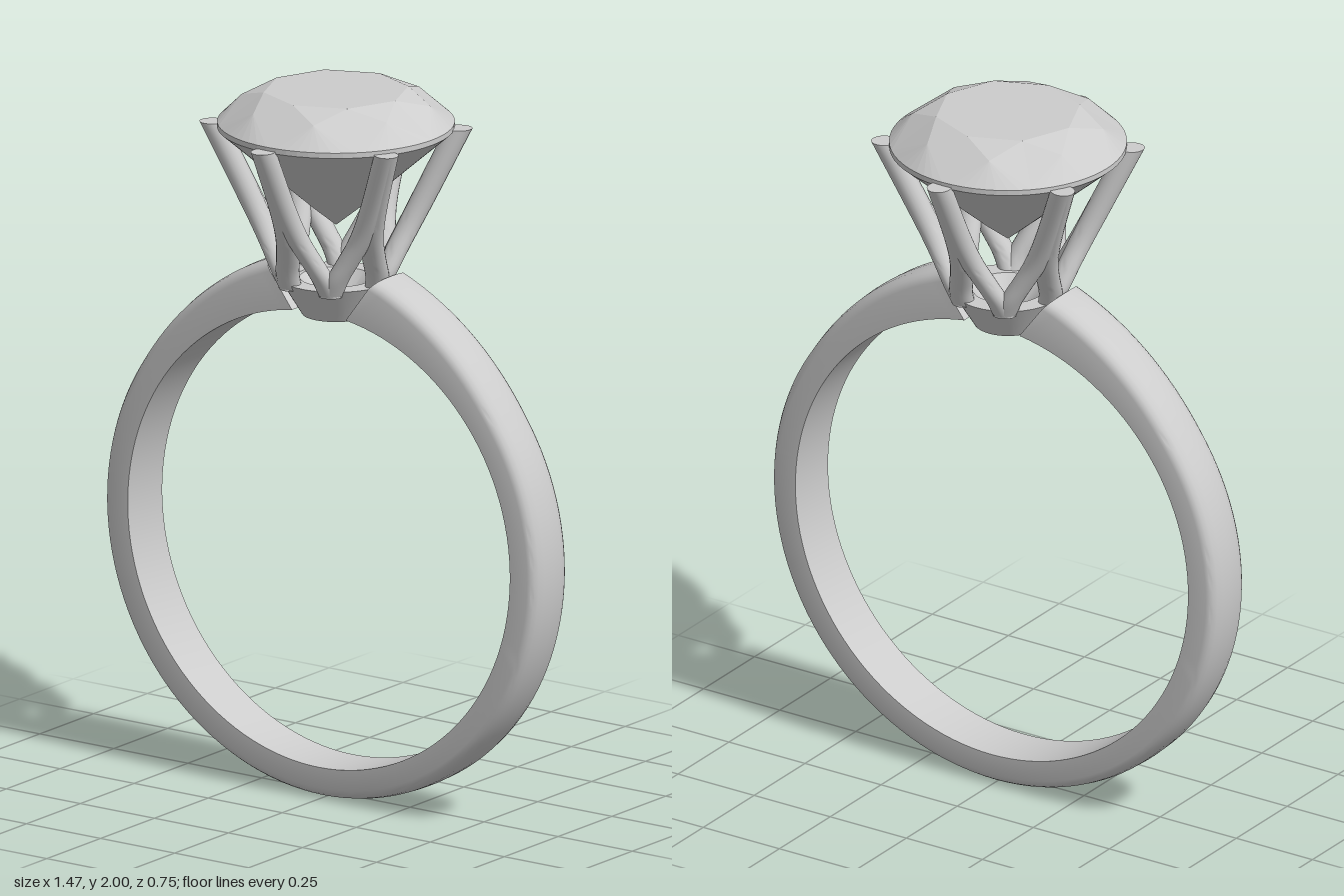
import * as THREE from 'three';
import { toCreasedNormals } from 'three/addons/utils/BufferGeometryUtils.js';

const lerp = THREE.MathUtils.lerp;

// Skin closed rings (counter-clockwise about the path) and cap both ends
function loft(rings, crease) {
  const n = rings[0].length, last = (rings.length - 1) * n, index = [];
  for (let i = 0; i < rings.length - 1; i++) {
    for (let j = 0; j < n; j++) {
      const a = i * n + j, b = i * n + (j + 1) % n;
      index.push(a, b, a + n, b, b + n, a + n);
    }
  }
  for (let j = 1; j < n - 1; j++) {
    index.push(0, j + 1, j, last, last + j, last + j + 1);
  }
  const g = new THREE.BufferGeometry().setFromPoints(rings.flat());
  g.setIndex(index);
  return toCreasedNormals(g, crease);
}

// Open shank, thicker towards its two slanted ends
function bandGeometry() {
  const edge = [[0.002, 0.04], [0.007, 0.06], [0.014, 0.071], [0.022, 0.077], [0.032, 0.08]];
  const mirrored = edge.map(([d, z]) => [d, -z]).reverse();
  const section = [[0, 0], ...edge, [null, 0.08], [null, -0.08], ...mirrored];
  const rings = [], steps = 120, inner = 0.645, startIn = 0.141, startOut = 0.243;
  for (let i = 0; i <= steps; i++) {
    const u = i / steps;
    const phiIn = lerp(startIn, 2 * Math.PI - startIn, u);
    const phiOut = lerp(startOut, 2 * Math.PI - startOut, u);
    const fromEnd = Math.min(phiOut, 2 * Math.PI - phiOut) - startOut;
    const outer = 0.735 + 0.052 * Math.max(0, 1 - fromEnd / 0.75) ** 1.5;
    rings.push(section.map(([drop, z]) => {
      const t = drop === null ? 0 : 1 - drop / (outer - inner);
      const phi = lerp(phiIn, phiOut, t), r = lerp(inner, outer, t);
      return new THREE.Vector3(r * Math.sin(phi), 0.738 + r * Math.cos(phi), z);
    }));
  }
  return loft(rings, 0.7);
}

// Half of a forked prong: upper stem shared, lower leg bending sideways
function prongGeometry(side) {
  const path = new THREE.CatmullRomCurve3([
    [0.118, 1.45, 0.068], [0.142, 1.5, 0.06], [0.17, 1.56, 0.038],
    [0.2, 1.62, 0.018], [0.24, 1.7, 0.006], [0.338, 1.9, 0],
  ].map(([x, y, z]) => new THREE.Vector3(x, y, z * side)));
  const rings = [], sides = 20;
  for (let i = 0; i <= 20; i++) {
    const c = path.getPoint(i / 20), depth = lerp(0.03, 0.037, i / 20);
    rings.push(Array.from({ length: sides }, (_, j) => {
      const a = j / sides * 2 * Math.PI;
      return new THREE.Vector3(c.x + depth * Math.cos(a), c.y, c.z - 0.033 * Math.sin(a));
    }));
  }
  return loft(rings, 0.7);
}

// Round brilliant cut with eightfold symmetry
function stoneGeometry() {
  const tris = [], eighth = Math.PI / 4, fan = 8;
  const p = (r, y, a) => new THREE.Vector3(r * Math.sin(a), y, r * Math.cos(a));
  const top = new THREE.Vector3(0, 2, 0), culet = new THREE.Vector3(0, 1.615, 0);
  for (let k = 0; k < 8; k++) {
    const a = k * eighth, b = a + eighth, m = a + eighth / 2;
    const tA = p(0.2, 2, a), tB = p(0.2, 2, b);
    const star = p(0.265, 1.969, m), prev = p(0.265, 1.969, a - eighth / 2);
    const low = p(0.065, 1.667, m), lowPrev = p(0.065, 1.667, a - eighth / 2);
    const crownG = p(0.325, 1.91, a), pavG = p(0.325, 1.895, a);
    // table, star facet and crown kite
    tris.push(top, tA, tB, tA, star, tB, tA, prev, crownG, tA, crownG, star);
    // pavilion main kite
    tris.push(culet, pavG, lowPrev, culet, low, pavG);
    // girdle and the facets that meet it
    for (let i = 0; i < fan; i++) {
      const a0 = a + eighth * i / fan, a1 = a + eighth * (i + 1) / fan;
      const u0 = p(0.325, 1.91, a0), u1 = p(0.325, 1.91, a1);
      const l0 = p(0.325, 1.895, a0), l1 = p(0.325, 1.895, a1);
      tris.push(star, u0, u1, l0, l1, u0, l1, u1, u0, low, l1, l0);
    }
  }
  const g = new THREE.BufferGeometry().setFromPoints(tris);
  g.computeVertexNormals();
  return g;
}

export function createModel() {
  const model = new THREE.Group();
  model.name = 'solitaireRing';
  const grey = new THREE.MeshStandardMaterial({ color: 0xcccccc });
  grey.name = 'light grey';
  const add = (parent, name, geometry) => {
    const mesh = new THREE.Mesh(geometry, grey);
    mesh.name = name;
    parent.add(mesh);
    return mesh;
  };

  add(model, 'band', bandGeometry());

  // Conical seat with a hole through its base
  const seat = [[0.038, 1.365], [0.093, 1.365], [0.155, 1.467], [0.1, 1.467], [0.038, 1.4], [0.038, 1.365]]
    .map(([r, y]) => new THREE.Vector2(r, y));
  add(model, 'settingBase', toCreasedNormals(new THREE.LatheGeometry(seat, 48), 0.5));

  // Six prongs, one facing the front
  const halves = [1, -1].map(prongGeometry);
  for (let k = 0; k < 6; k++) {
    const prong = new THREE.Group();
    prong.name = 'prong' + (k + 1);
    prong.rotation.y = Math.PI / 2 + k * Math.PI / 3;
    halves.forEach((g, i) => add(prong, i ? 'rightLeg' : 'leftLeg', g));
    model.add(prong);
  }

  add(model, 'gemstone', stoneGeometry());
  return model;
}
